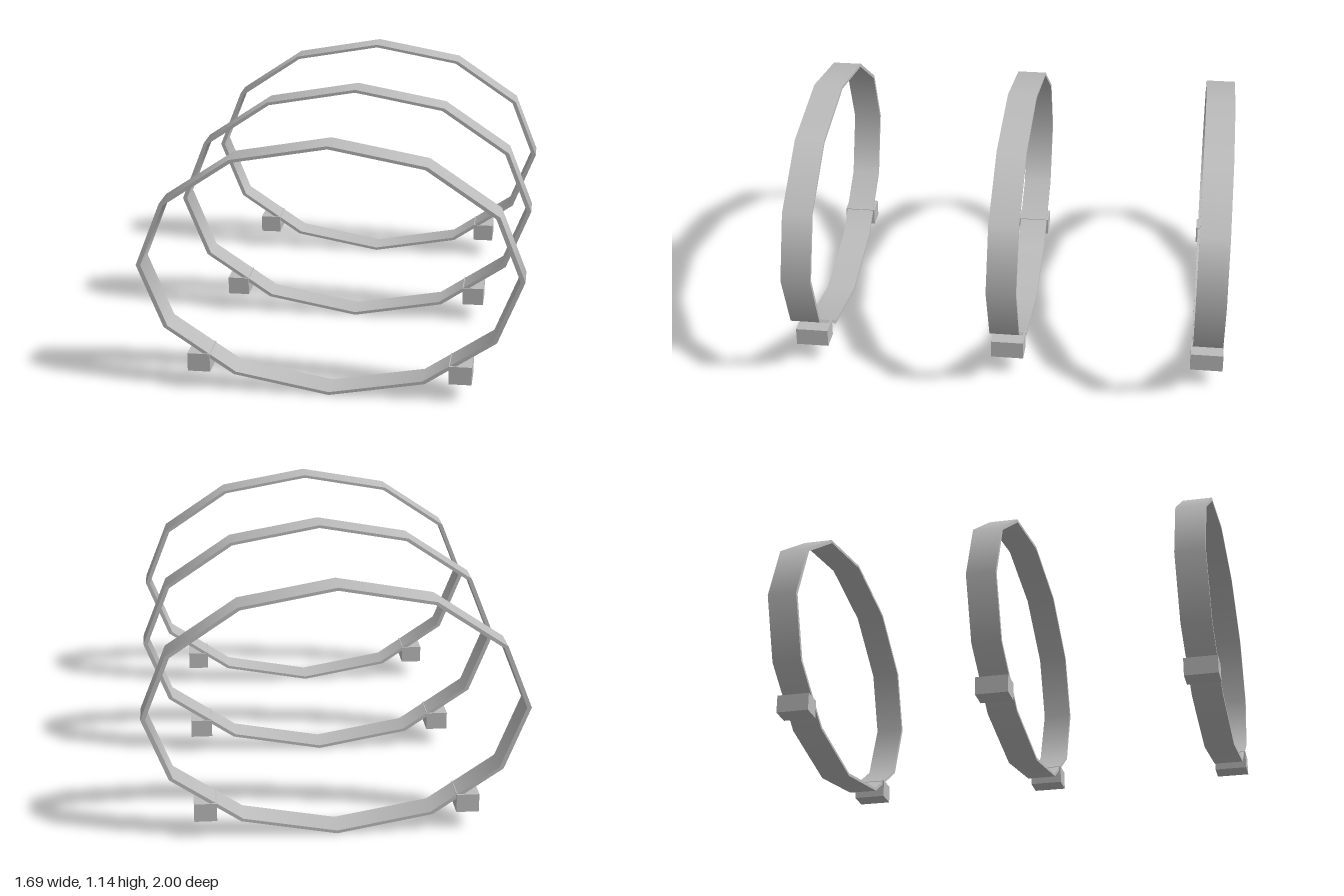
import * as THREE from 'three';
import { mergeGeometries } from 'three/addons/utils/BufferGeometryUtils.js';

const RX = 0.843, RY = 0.57, INNER = 0.976, DEPTH = 0.135, SIDES = 12;

// Twelve-sided oval band: outer wall, inner wall and two flat rims
function bandGeometry() {
  const wall = r => new THREE.CylinderGeometry(r, r, DEPTH, SIDES, 1, true).rotateX(Math.PI / 2);
  const rim = () => new THREE.RingGeometry(INNER, 1, SIDES, 1);
  const outer = wall(1);
  const inner = wall(INNER);
  // Turn the inner wall to face the middle
  inner.index.array.reverse();
  const n = inner.attributes.normal;
  for (let i = 0; i < n.count; i++) n.setXYZ(i, -n.getX(i), -n.getY(i), -n.getZ(i));
  const front = rim().translate(0, 0, DEPTH / 2);
  const back = rim().rotateY(Math.PI).translate(0, 0, -DEPTH / 2);
  return mergeGeometries([outer, inner, front, back]).scale(RX, RY, 1);
}

export function createModel() {
  const model = new THREE.Group();
  model.name = 'hoopStand';
  const grey = new THREE.MeshStandardMaterial({ color: 0xbcbcbc });
  grey.name = 'grey';

  const band = bandGeometry();
  const block = new THREE.BoxGeometry(0.1, 0.083, 0.15);

  // Three hoops in a row, each with a block under both sides
  for (const z of [-0.923, 0, 0.923]) {
    const section = new THREE.Group();
    section.name = 'hoopSection';
    section.position.z = z;

    const hoop = new THREE.Mesh(band, grey);
    hoop.name = 'hoop';
    hoop.position.y = RY;
    section.add(hoop);

    for (const side of [-1, 1]) {
      const foot = new THREE.Mesh(block, grey);
      foot.name = side > 0 ? 'leftBlock' : 'rightBlock';
      foot.position.set(side * 0.576, 0.127, 0);
      section.add(foot);
    }
    model.add(section);
  }
  return model;
}
